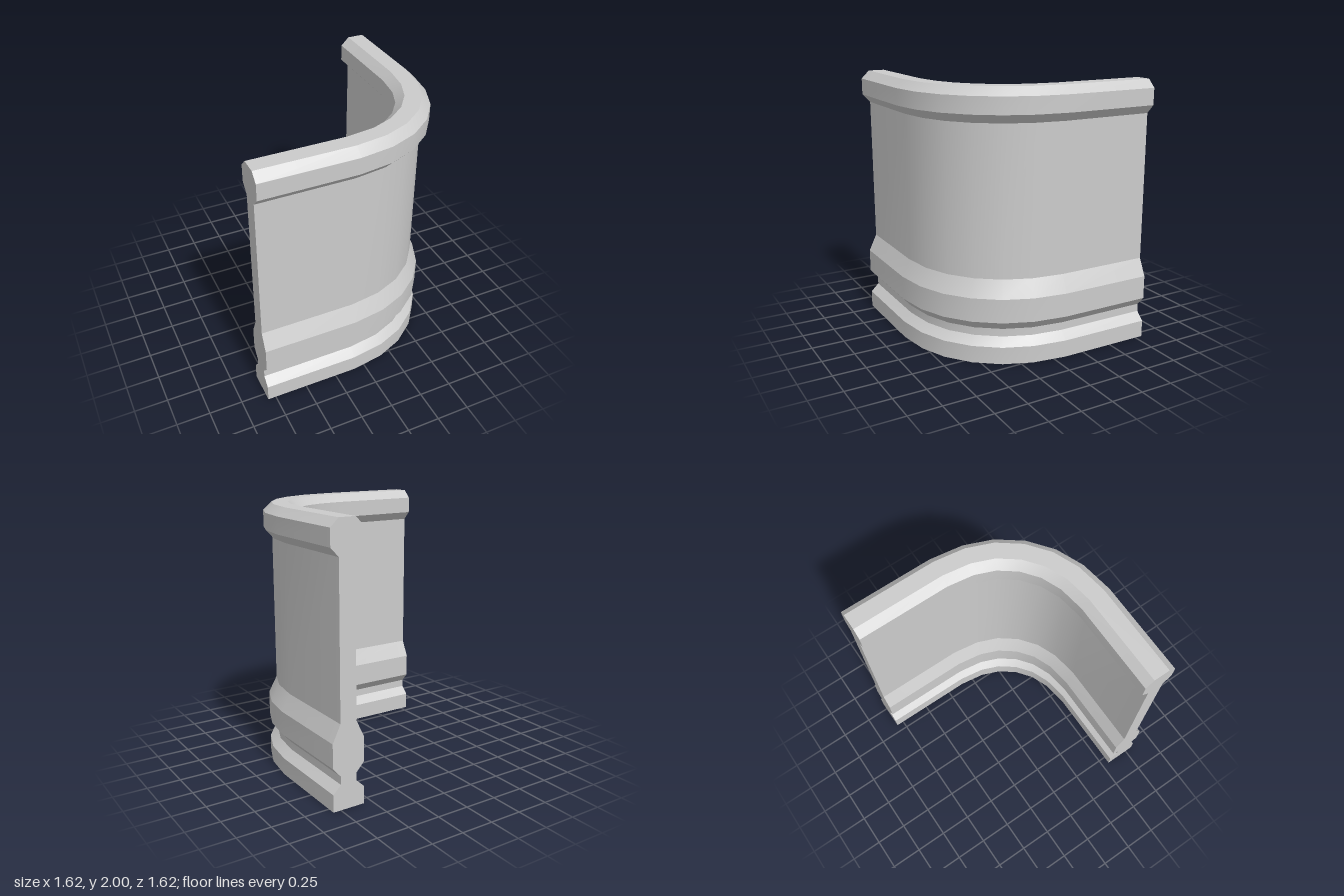
import * as THREE from 'three';
import { toCreasedNormals } from 'three/addons/utils/BufferGeometryUtils.js';

// Moulded wall section: [height, half thickness], symmetric about its centre line
const WIDE = 0.125, NECK = 0.063;
const profile = [
  [0, WIDE], [0.13, WIDE], [0.19, NECK], [0.25, NECK], [0.32, WIDE], [0.5, WIDE],
  [0.63, NECK], [1.75, NECK], [1.815, WIDE], [1.94, WIDE], [2, NECK],
];

// Centre line of the wall: [x, z, degrees the outward normal turns from +z to +x]
const half = [
  [-0.81, 0.685, 0], [-0.098, 0.685, 3], [0.128, 0.652, 15], [0.309, 0.579, 30],
];
const path = [
  ...half,
  [0.462, 0.462, 45],
  ...half.map(([x, z, a]) => [z, x, 90 - a]).reverse(), // mirrored second arm
];

function sweepWall() {
  const n = profile.length, ringSize = 2 * n;
  const ring = [...profile, ...profile.map(([y, w]) => [y, -w]).reverse()];
  const positions = [], index = [];
  const quad = (a, b, c, d) => index.push(a, b, c, a, c, d);

  for (const [x, z, deg] of path) {
    const a = THREE.MathUtils.degToRad(deg);
    for (const [y, w] of ring) positions.push(x + w * Math.sin(a), y, z + w * Math.cos(a));
  }

  // Outer, top, inner and bottom surfaces
  for (let i = 0; i < path.length - 1; i++) {
    for (let j = 0; j < ringSize; j++) {
      const k = (j + 1) % ringSize, s = i * ringSize, e = s + ringSize;
      quad(s + j, e + j, e + k, s + k);
    }
  }

  // End faces
  const last = (path.length - 1) * ringSize;
  for (let j = 0; j < n - 1; j++) {
    const inner = ringSize - 1 - j;
    quad(inner, j, j + 1, inner - 1);
    quad(last + j, last + inner, last + inner - 1, last + j + 1);
  }

  const geometry = new THREE.BufferGeometry();
  geometry.setAttribute('position', new THREE.Float32BufferAttribute(positions, 3));
  geometry.setIndex(index);
  // Smooth around the bend, sharp along the mouldings
  return toCreasedNormals(geometry, THREE.MathUtils.degToRad(20));
}

export function createModel() {
  const model = new THREE.Group();
  model.name = 'curvedCornerWall';
  const wall = new THREE.Mesh(sweepWall(), new THREE.MeshStandardMaterial({ color: 0xcccccc }));
  wall.name = 'mouldedWall';
  model.add(wall);
  return model;
}
